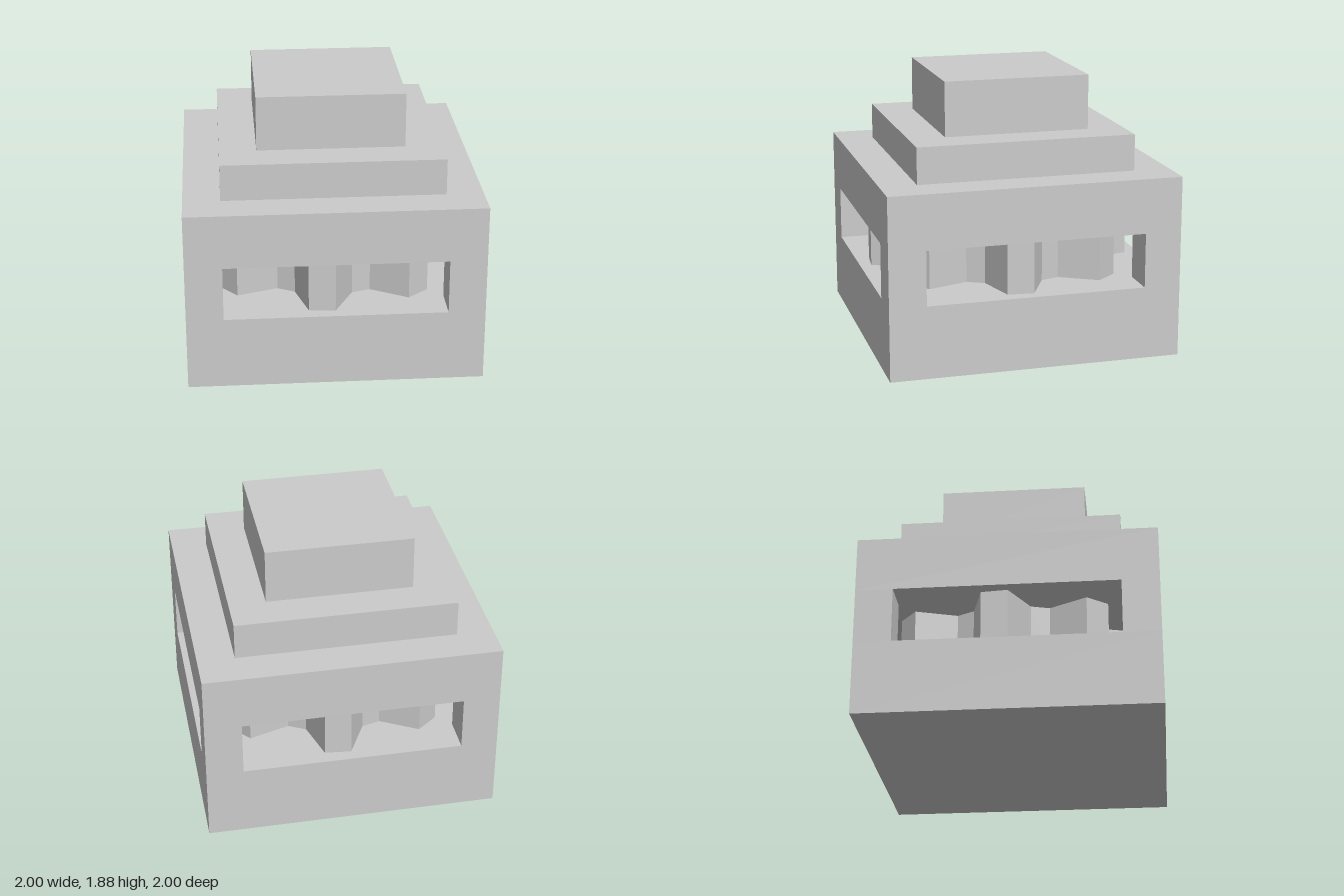
import * as THREE from 'three';

const material = new THREE.MeshStandardMaterial({ color: 0xcccccc, flatShading: true });

export function createModel() {
  const group = new THREE.Group();

  function add(name, geometry, x = 0, y = 0, z = 0) {
    const mesh = new THREE.Mesh(geometry, material);
    mesh.name = name;
    mesh.position.set(x, y, z);
    group.add(mesh);
  }

  // Square block of a given width between two heights
  function block(name, width, bottom, top, x = 0, z = 0) {
    add(name, new THREE.BoxGeometry(width, top - bottom, width), x, (bottom + top) / 2, z);
  }

  const sill = 0.5, lintel = 0.875;

  // Housing: solid base and roof joined by four corner posts
  block('base', 2, 0, sill);
  block('roof', 2, lintel, 1.25);
  for (const x of [-0.875, 0.875])
    for (const z of [-0.875, 0.875]) block('cornerPost', 0.25, sill, lintel, x, z);

  // Stepped top
  block('lowerStep', 1.5, 1.25, 1.5);
  block('upperStep', 1, 1.5, 1.875);

  // Eight-toothed gear lying flat behind the windows
  const outline = [];
  for (let k = 0; k < 32; k++) {
    const angle = (k * Math.PI) / 16;
    const radius = k % 4 === 0 || k % 4 === 3 ? 0.92 : 0.672;
    outline.push(new THREE.Vector2(radius * Math.sin(angle), radius * Math.cos(angle)));
  }
  const gear = new THREE.ExtrudeGeometry(new THREE.Shape(outline), {
    depth: lintel - sill,
    bevelEnabled: false,
  });
  gear.rotateX(Math.PI / 2);
  add('gear', gear, 0, lintel, 0);

  return group;
}
